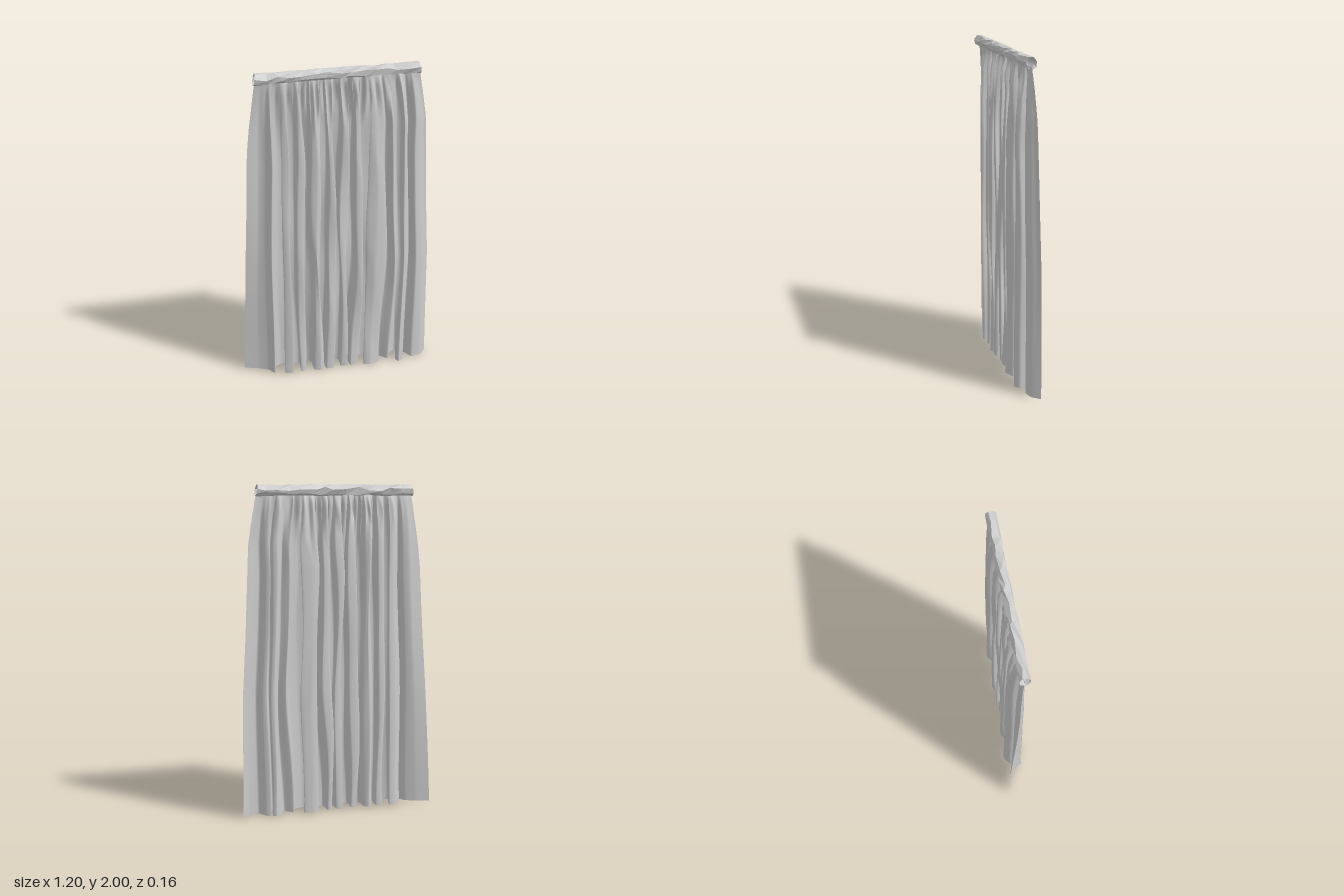
import * as THREE from 'three';

// Hem line of the cloth seen from above: [x, z], left to right
const HEM = [
  [-0.60, -0.08], [-0.52, -0.055], [-0.46, -0.02], [-0.425, 0.03], [-0.41, -0.04], [-0.37, -0.07], [-0.33, -0.07],
  [-0.36, 0.04], [-0.31, 0.055], [-0.30, -0.05], [-0.26, -0.05], [-0.26, 0.04], [-0.22, 0.04],
  [-0.22, -0.05], [-0.20, -0.07], [-0.17, -0.045], [-0.17, 0.045], [-0.14, 0.06], [-0.12, 0.045],
  [-0.13, -0.05], [-0.08, -0.045], [-0.08, 0.05], [-0.04, 0.05], [-0.04, -0.04], [0.00, -0.04],
  [0.00, 0.05], [0.04, 0.045], [0.03, -0.045], [0.07, -0.045], [0.08, 0.05], [0.12, 0.05],
  [0.11, -0.05], [0.15, -0.06], [0.21, -0.045], [0.15, 0.05], [0.20, 0.07], [0.26, 0.05],
  [0.28, -0.02], [0.33, 0.03], [0.35, -0.035], [0.38, -0.055], [0.405, -0.04], [0.37, 0.05],
  [0.385, 0.08], [0.42, 0.05], [0.42, -0.035], [0.45, -0.02], [0.48, 0.04], [0.545, 0.028], [0.59, -0.02],
];

// Outline by height: [y, left edge, right edge, fold depth]
const ROWS = [
  [0.01, -0.60, 0.595, 1], [0.75, -0.575, 0.587, 0.95], [1.1, -0.56, 0.566, 0.92],
  [1.5, -0.545, 0.547, 0.86], [1.65, -0.53, 0.54, 0.75], [1.8, -0.51, 0.515, 0.5],
  [1.9, -0.497, 0.495, 0.2], [1.94, -0.49, 0.488, 0.06],
];

// Linear lookup of a column in ROWS at height y
function rowValue(y, col) {
  let i = 0;
  while (i < ROWS.length - 2 && y > ROWS[i + 1][0]) i++;
  const t = (y - ROWS[i][0]) / (ROWS[i + 1][0] - ROWS[i][0]);
  return THREE.MathUtils.lerp(ROWS[i][col], ROWS[i + 1][col], t);
}

// Repeatable noise in -1..1
function noise(i, j) {
  const n = Math.sin(i * 127.1 + j * 311.7) * 43758.5453;
  return 2 * (n - Math.floor(n)) - 1;
}

function gridGeometry(nu, nv, pointAt) {
  const pos = [], idx = [];
  for (let j = 0; j <= nv; j++)
    for (let i = 0; i <= nu; i++) pos.push(...pointAt(i / nu, j / nv));
  for (let j = 0; j < nv; j++)
    for (let i = 0; i < nu; i++) {
      const a = j * (nu + 1) + i, b = a + nu + 1;
      idx.push(a, a + 1, b + 1, a, b + 1, b);
    }
  const g = new THREE.BufferGeometry();
  g.setAttribute('position', new THREE.Float32BufferAttribute(pos, 3));
  g.setIndex(idx);
  g.computeVertexNormals();
  return g;
}

export function createModel() {
  const { lerp, smoothstep } = THREE.MathUtils;
  const group = new THREE.Group();
  group.name = 'curtain';
  const material = (flatShading) =>
    new THREE.MeshStandardMaterial({ color: 0xcccccc, side: THREE.DoubleSide, flatShading });

  // Pleated cloth: the hem folds flatten and gather toward the sleeve
  const hem = new THREE.CatmullRomCurve3(
    HEM.map(([x, z]) => new THREE.Vector3(x, 0, z)), false, 'catmullrom', 0.2);
  const spans = HEM.length - 1;
  const clothPoint = (u, v) => {
    const y = 0.005 + 1.935 * (1 - (1 - v) ** 1.4);
    const p = hem.getPoint(u);
    const inner = Math.sin(Math.PI * u);
    const gather = 0.45 * smoothstep(y, 1.4, 1.94);
    const s = lerp((p.x + 0.6) / 1.19, u, gather);
    // folds spread slightly above the hem and each wanders on its way up
    const spread = 0.025 * Math.sin(2 * Math.PI * (s - 0.5)) * smoothstep(y, 0, 0.9);
    const wander = Math.sin(y * 3.1 + u * 40) + 0.6 * Math.sin(y * 6.3 + u * 71);
    const sway = 0.01 * inner * wander * (1 - gather);
    const shallow = 1 - 0.22 * inner * Math.max(0, Math.sin(y * 4.3 + u * 53));
    // side edges turn back to the middle plane with height
    const edge = 1 - smoothstep(Math.min(u, 1 - u), 0, 2 / spans);
    const flatten = 1 - 0.85 * edge * smoothstep(y, 0, 1.5);
    const edgeBack = 0.015 * edge * Math.sin(Math.PI * v);
    // small gathers of uneven length under the sleeve
    const reach = 0.17 + 0.1 * Math.sin(u * 61);
    const crimp = 0.018 * inner * Math.sin(u * 205 + 3 * Math.sin(u * 19))
      * Math.max(0, 1 - Math.abs(y - 1.84) / reach) * smoothstep(1.945 - y, 0, 0.06);
    return [
      lerp(rowValue(y, 1), rowValue(y, 2), s) + spread + sway,
      y + 0.012 * (0.5 - u) * (1 - v),
      p.z * rowValue(y, 3) * flatten * shallow + 0.014 * v + crimp - edgeBack,
    ];
  };
  const cloth = new THREE.Mesh(gridGeometry(spans * 5, 36, clothPoint), material(false));
  cloth.name = 'pleatedCloth';
  group.add(cloth);

  // Rod sleeve: an open, crumpled low-poly tube along the top edge
  const along = 14, around = 7;
  const sleevePoint = (u, v) => {
    const i = Math.round(u * along), j = Math.round(v * around) % around;
    const inside = i > 0 && i < along ? 1 : 0;
    const a = ((j + 0.25 + inside * 0.45 * noise(i + 9, j)) / around) * Math.PI * 2;
    const r = 0.032 + 0.005 * inside * Math.min(0, noise(i, j));
    return [
      -0.495 + 0.98 * u + 0.028 * inside * noise(i + 50, j) + 0.007 * Math.sin(a) * (1 - 2 * u),
      1.964 + r * 1.13 * Math.sin(a),
      0.014 + r * Math.cos(a),
    ];
  };
  const sleeve = new THREE.Mesh(gridGeometry(along, around, sleevePoint), material(true));
  sleeve.name = 'rodSleeve';
  group.add(sleeve);

  return group;
}
